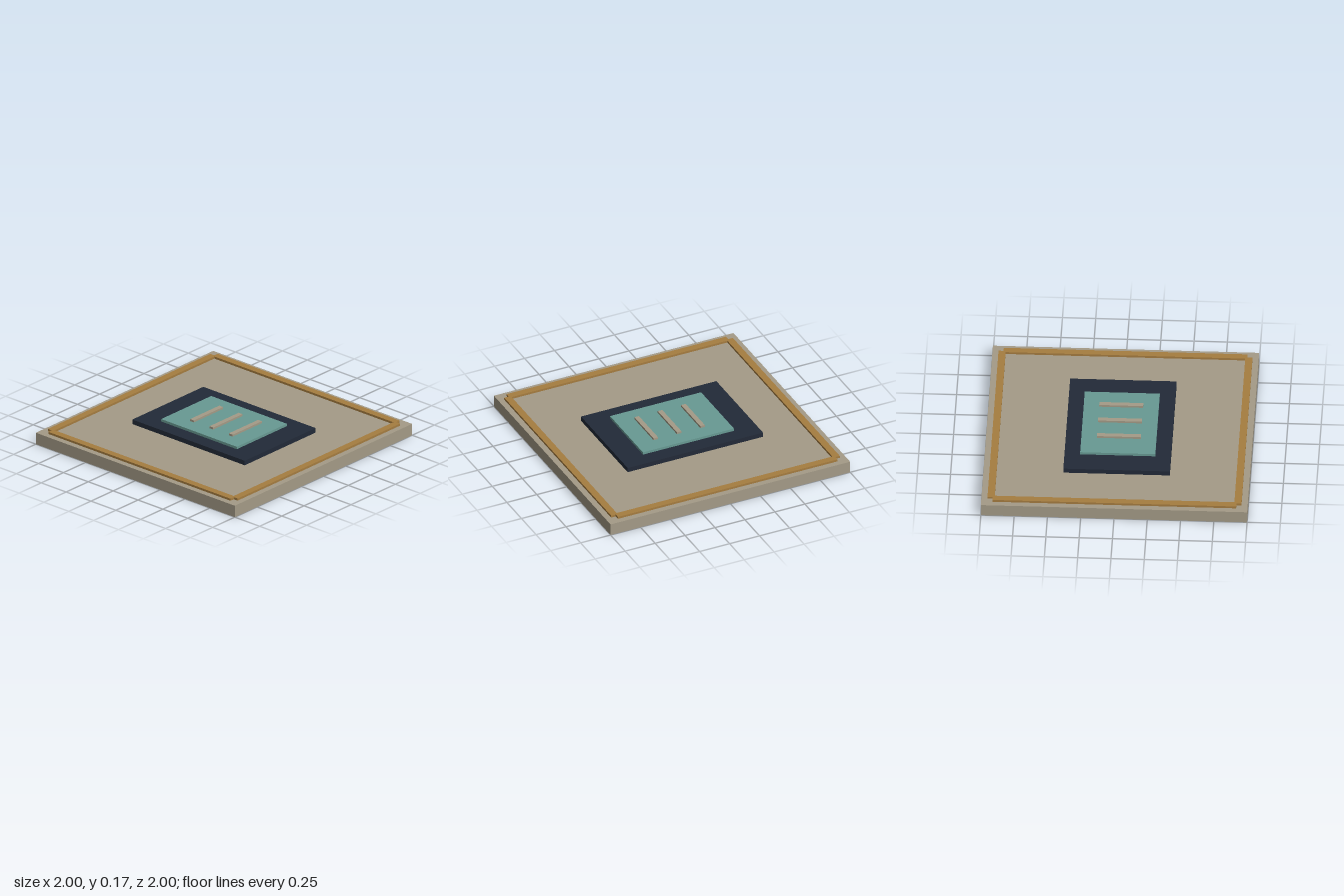
import * as THREE from 'three';

const material = (color) => new THREE.MeshStandardMaterial({ color });

export function createModel() {
  const model = new THREE.Group();
  const stone = material(0xa49b87);
  const brass = material(0xa67d40);
  const navy = material(0x222a38);
  const teal = material(0x689a93);

  // Box given by its size, its bottom and top heights, and its centre on the ground plane
  function slab(name, mat, width, depth, bottom, top, x = 0, z = 0) {
    const mesh = new THREE.Mesh(new THREE.BoxGeometry(width, top - bottom, depth), mat);
    mesh.name = name;
    mesh.position.set(x, (bottom + top) / 2, z);
    model.add(mesh);
  }

  // Square base
  slab('base', stone, 2, 2, 0, 0.094);

  // Border strips, overlapping inside the notched corners
  for (const side of [-1, 1]) {
    const across = side < 0 ? 'back' : 'front';
    const along = side < 0 ? 'right' : 'left';
    slab(across + 'Border', brass, 1.832, 0.054, 0.094, 0.111, 0, side * 0.927);
    slab(along + 'Border', brass, 0.054, 1.832, 0.094, 0.111, side * 0.927, 0);
  }

  // Stacked centre plates
  slab('darkPlate', navy, 0.8, 1.13, 0.094, 0.131);
  slab('tealPanel', teal, 0.564, 0.76, 0.131, 0.151);

  // Three raised bars, spaced slightly towards the front
  for (let i = -1; i <= 1; i++) {
    slab('raisedBar', stone, 0.33, 0.038, 0.151, 0.167, 0, 0.02 + i * 0.195);
  }

  return model;
}
